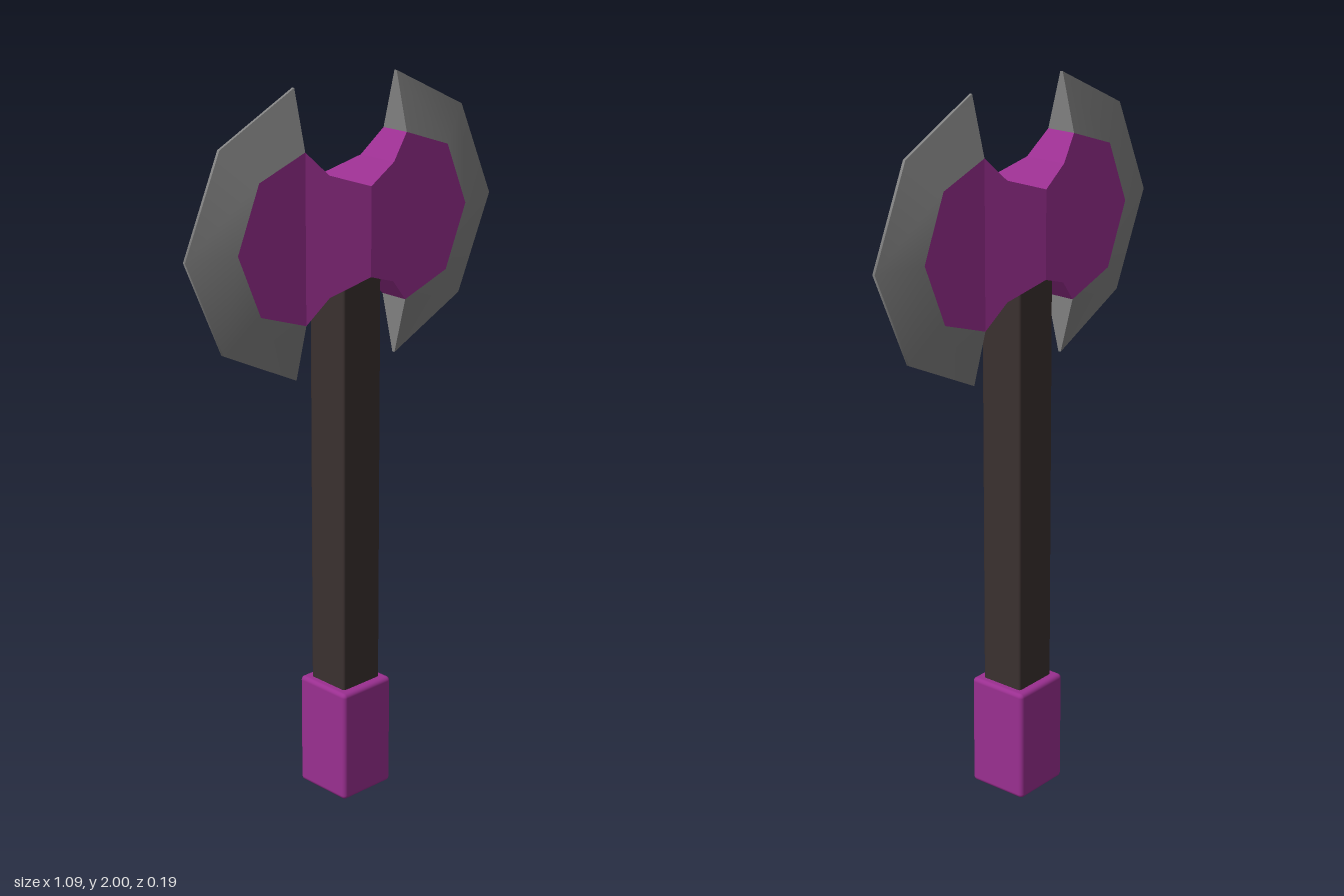
import * as THREE from 'three';
import { RoundedBoxGeometry } from 'three/addons/geometries/RoundedBoxGeometry.js';

const paint = (color, flatShading = false) => {
  const m = new THREE.MeshStandardMaterial({ color });
  m.flatShading = flatShading;
  return m;
};

// Surface between an upper and a lower row of points, both listed left to right.
function strip(upper, lower) {
  const n = upper.length, index = [];
  for (let i = 0; i < n - 1; i++) index.push(i, n + i, n + i + 1, i, n + i + 1, i + 1);
  const g = new THREE.BufferGeometry();
  g.setAttribute('position', new THREE.Float32BufferAttribute([...upper, ...lower].flat(), 3));
  g.setIndex(index);
  g.computeVertexNormals();
  return g;
}

const add = (group, name, geometry, material) => {
  const mesh = new THREE.Mesh(geometry, material);
  mesh.name = name;
  group.add(mesh);
  return mesh;
};

export function createModel() {
  const model = new THREE.Group();
  model.name = 'doubleAxe';
  const purple = paint(0x9a2f90), purpleFlat = paint(0x9a2f90, true);
  const wood = paint(0x3a302f), steel = paint(0x808080);

  // Square shaft and pommel
  add(model, 'shaft', new RoundedBoxGeometry(0.135, 1.38, 0.13, 1, 0.006), wood).position.y = 0.93;
  add(model, 'pommel', new RoundedBoxGeometry(0.18, 0.325, 0.18, 2, 0.012), purple).position.y = 0.1625;

  // The head is built around its own centre, so half turns give the matching sides
  const head = new THREE.Group();
  head.name = 'head';
  head.position.y = 1.6175;
  model.add(head);

  // Body columns: x, half height, half depth
  const half = [[0, 0.12, 0.096], [0.115, 0.16, 0.062], [0.18, 0.226, 0.043],
    [0.335, 0.172, 0.043], [0.408, 0, 0.043]];
  const columns = [...half.slice(1).reverse().map(([x, h, d]) => [-x, h, d]), ...half];
  const row = (sy, sz) => columns.map(([x, h, d]) => [x, sy * h, sz * d]);
  const face = strip(row(1, 1), row(-1, 1));
  add(head, 'bodyFront', face, purpleFlat);
  add(head, 'bodyBack', face, purpleFlat).rotation.y = Math.PI;
  // Waist edges, above and below
  const middle = r => r.slice(2, 7);
  const edge = strip(middle(row(1, -1)), middle(row(1, 1)));
  add(head, 'bodyTop', edge, purpleFlat);
  add(head, 'bodyBottom', edge, purpleFlat).rotation.z = Math.PI;

  // Blade: bevel from the body outline out to a thin cutting edge
  const outer = z => [[0.18, 0.3825], [0.428, 0.262], [0.545, 0], [0.428, -0.262], [0.18, -0.3825]]
    .map(([x, y]) => [x, y, z]);
  const inner = z => [[0.18, 0.226], [0.335, 0.172], [0.408, 0], [0.335, -0.172], [0.18, -0.226]]
    .map(([x, y]) => [x, y, z]);
  const rim = 0.004, thick = 0.043;
  const bevel = strip(outer(rim), inner(thick));
  const cap = strip([outer(-rim)[0], outer(rim)[0]], [inner(-thick)[0], inner(thick)[0]]);
  const cutting = strip(outer(-rim), outer(rim));
  ['leftBlade', 'rightBlade'].forEach((name, i) => {
    const blade = new THREE.Group();
    blade.name = name;
    blade.rotation.y = i * Math.PI;
    add(blade, 'frontBevel', bevel, steel);
    add(blade, 'backBevel', bevel, steel).rotation.x = Math.PI;
    add(blade, 'upperEnd', cap, steel);
    add(blade, 'lowerEnd', cap, steel).rotation.x = Math.PI;
    add(blade, 'cuttingEdge', cutting, steel);
    head.add(blade);
  });
  return model;
}
